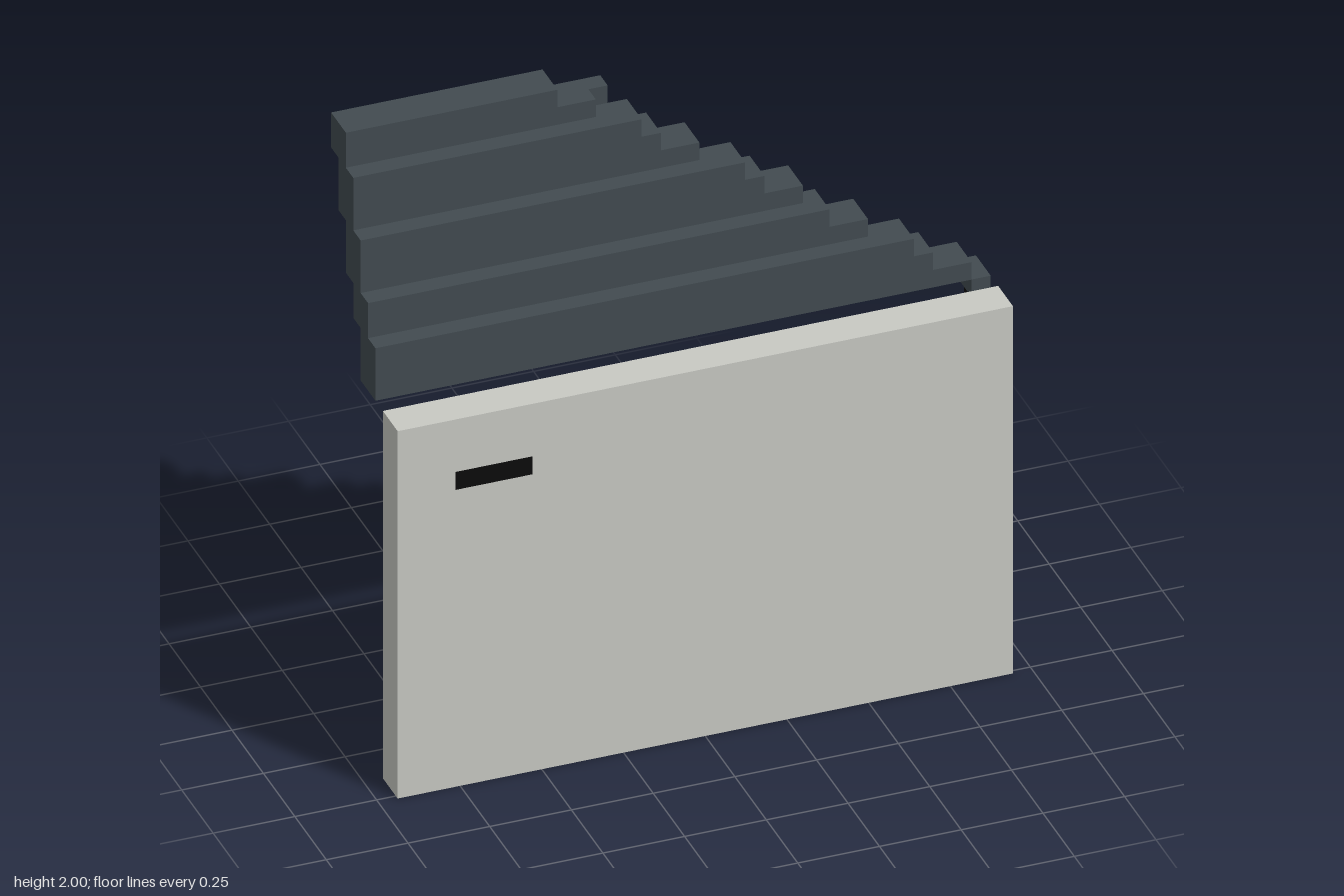
import * as THREE from 'three';

const U = 1 / 17; // one grid cell

export function createModel() {
  const model = new THREE.Group();
  model.name = 'door';
  const paint = new THREE.MeshStandardMaterial({ name: 'pale grey paint', color: 0xc8c9c3 });
  const glass = new THREE.MeshStandardMaterial({ name: 'dark tinted glass', color: 0x424b50 });
  const black = new THREE.MeshStandardMaterial({ name: 'black trim', color: 0x0b0b0b });

  // Box between two corners given in cells
  function box(name, material, [x0, y0, z0], [x1, y1, z1]) {
    const geo = new THREE.BoxGeometry((x1 - x0) * U, (y1 - y0) * U, (z1 - z0) * U);
    geo.translate((x0 + x1) * U / 2, (y0 + y1) * U / 2, (z0 + z1) * U / 2);
    const mesh = new THREE.Mesh(geo, material);
    mesh.name = name;
    model.add(mesh);
  }

  // Slab of one-cell rows, each running from x = -16 to its own end
  function steppedSlab(name, y0, z0, z1, ends) {
    const shape = new THREE.Shape();
    shape.moveTo(-16 * U, y0 * U);
    ends.forEach((end, i) => {
      shape.lineTo(end * U, (y0 + i) * U);
      shape.lineTo(end * U, (y0 + i + 1) * U);
    });
    shape.lineTo(-16 * U, (y0 + ends.length) * U);
    shape.closePath();
    const geo = new THREE.ExtrudeGeometry(shape, { depth: (z1 - z0) * U, bevelEnabled: false });
    geo.translate(0, 0, z0 * U);
    const mesh = new THREE.Mesh(geo, glass);
    mesh.name = name;
    model.add(mesh);
  }

  // Outer skin, inner lining and flush handle
  box('outerPanel', paint, [-16, 0, 2.5], [16, 21, 4.5]);
  box('innerLining', black, [-15, 0, 1.5], [16, 20, 2.5]);
  box('handle', black, [-13, 17, 4.45], [-9, 18, 4.54]);

  // Front corner where the window meets the lining
  box('cornerBracket', black, [15, 19, 0.5], [16, 20, 1.5]);
  box('windowCorner', glass, [15, 20, -0.5], [16, 21, 1.5]);

  // Window leaning back in steps
  steppedSlab('windowLayer1', 21, -0.5, 1.5, [15, 13, 12]);
  steppedSlab('windowLayer2', 24, -1.5, 0.5, [10, 8]);
  steppedSlab('windowLayer3', 26, -2.5, -0.5, [7, 5, 4]);
  steppedSlab('windowLayer4', 29, -3.5, -1.5, [2, 0, -1]);
  steppedSlab('windowTopFront', 32, -3.5, -2.5, [-3, -5]);
  steppedSlab('windowTopBack', 32, -4.5, -3.5, [-2, -5]);

  return model;
}
